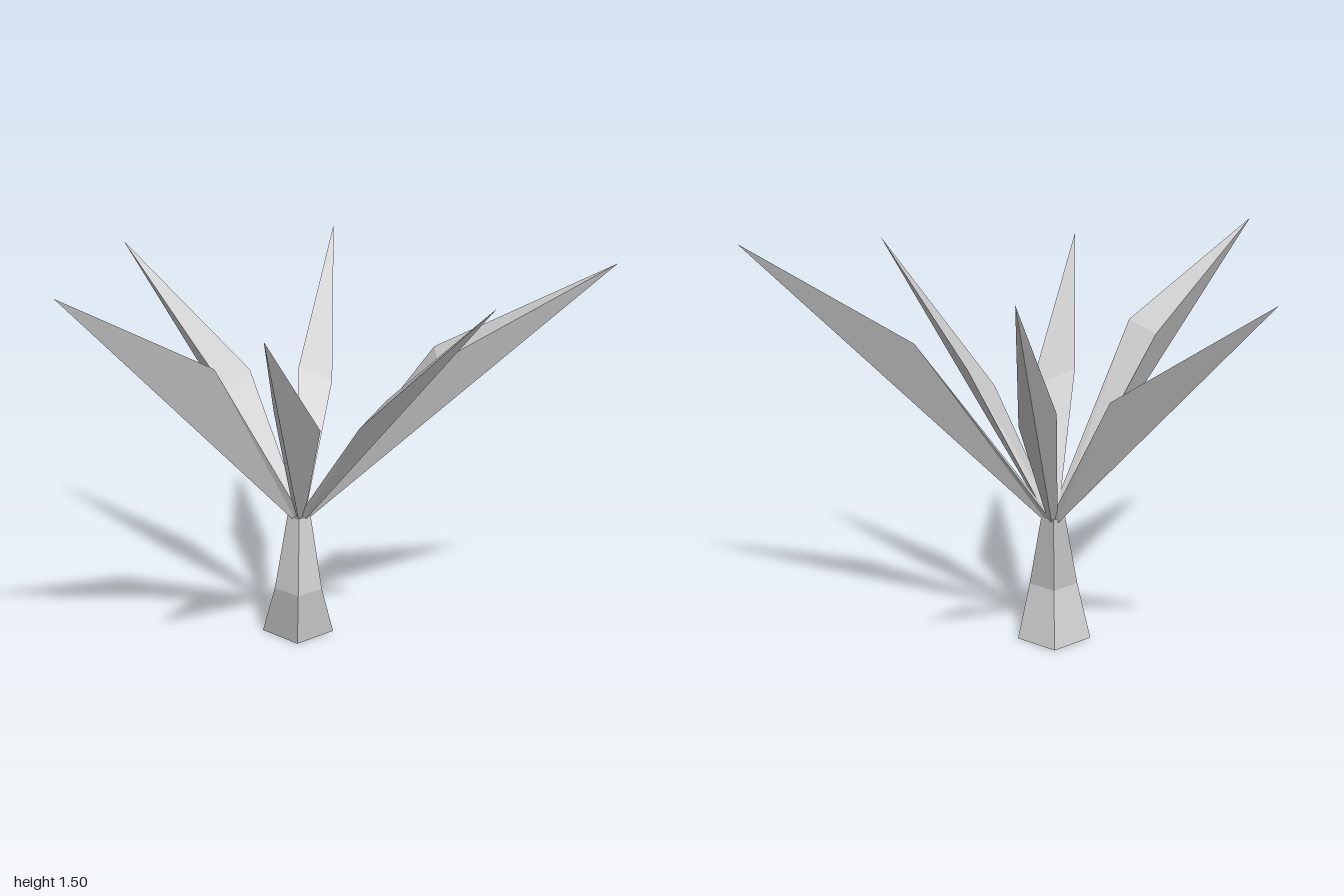
import * as THREE from 'three';

const material = new THREE.MeshStandardMaterial({ color: 0xcccccc, flatShading: true, side: THREE.DoubleSide });

function faceted(name, points, indices) {
  const indexed = new THREE.BufferGeometry();
  indexed.setAttribute('position', new THREE.Float32BufferAttribute(points.flat(), 3));
  indexed.setIndex(indices);
  const geometry = indexed.toNonIndexed();
  geometry.computeVertexNormals();
  const mesh = new THREE.Mesh(geometry, material);
  mesh.name = name;
  return mesh;
}

// Square trunk lofted through rings of [y, xMin, xMax, zMin, zMax]
function trunk() {
  const rings = [
    [0, -0.05, 0.145, -0.295, -0.1],
    [0.2, 0.025, 0.155, -0.22, -0.093],
    [0.48, 0.02, 0.085, -0.225, -0.163],
  ];
  const points = rings.flatMap(([y, x0, x1, z0, z1]) => [[x0, y, z1], [x1, y, z1], [x1, y, z0], [x0, y, z0]]);
  const indices = [0, 2, 1, 0, 3, 2, 8, 9, 10, 8, 10, 11];
  for (let r = 0; r < 2; r++) {
    for (let i = 0; i < 4; i++) {
      const a = r * 4 + i, b = r * 4 + (i + 1) % 4;
      indices.push(a, b, b + 4, a, b + 4, a + 4);
    }
  }
  return faceted('trunk', points, indices);
}

// Keeled leaf: flat folded top, two sides meeting in a straight lower edge
function leaf(name, tip, midRight, midLeft) {
  const cx = 0.05, cz = -0.2;
  const length = Math.hypot(tip[0] - cx, tip[2] - cz);
  const dx = (tip[0] - cx) / length, dz = (tip[2] - cz) / length;
  const root = (side, y) => [cx + dx * 0.01 - dz * side, y, cz + dz * 0.01 + dx * side];
  const points = [root(0.02, 0.48), root(-0.02, 0.48), root(0, 0.445), midRight, midLeft, tip];
  return faceted(name, points, [
    0, 3, 4, 0, 4, 1, 3, 5, 4, // top
    2, 5, 3, 2, 3, 0, // right side
    2, 4, 5, 2, 1, 4, // left side
    0, 1, 2, // root
  ]);
}

export function createModel() {
  const group = new THREE.Group();
  group.name = 'plant';
  group.add(trunk());
  // name, tip, right and left corners of the widest point
  const leaves = [
    ['frontLeaf', [0.05, 1.5, 0.95], [-0.02, 1.12, 0.3], [0.12, 1.16, 0.3]],
    ['frontLeftLeaf', [0.7, 1.41, 0.6], [0.22, 0.98, 0.1], [0.33, 0.91, -0.03]],
    ['leftLeaf', [1, 1.45, -0.2], [0.43, 0.92, -0.13], [0.43, 1.0, -0.27]],
    ['backLeftLeaf', [0.95, 1.5, -0.93], [0.49, 1.12, -0.48], [0.39, 1.15, -0.57]],
    ['backRightLeaf', [-0.53, 1.45, -0.95], [-0.13, 0.92, -0.55], [-0.24, 0.97, -0.47]],
    ['rightLeaf', [-1, 1.41, -0.2], [-0.3, 0.985, -0.26], [-0.3, 0.91, -0.14]],
  ];
  for (const spec of leaves) group.add(leaf(...spec));
  return group;
}
